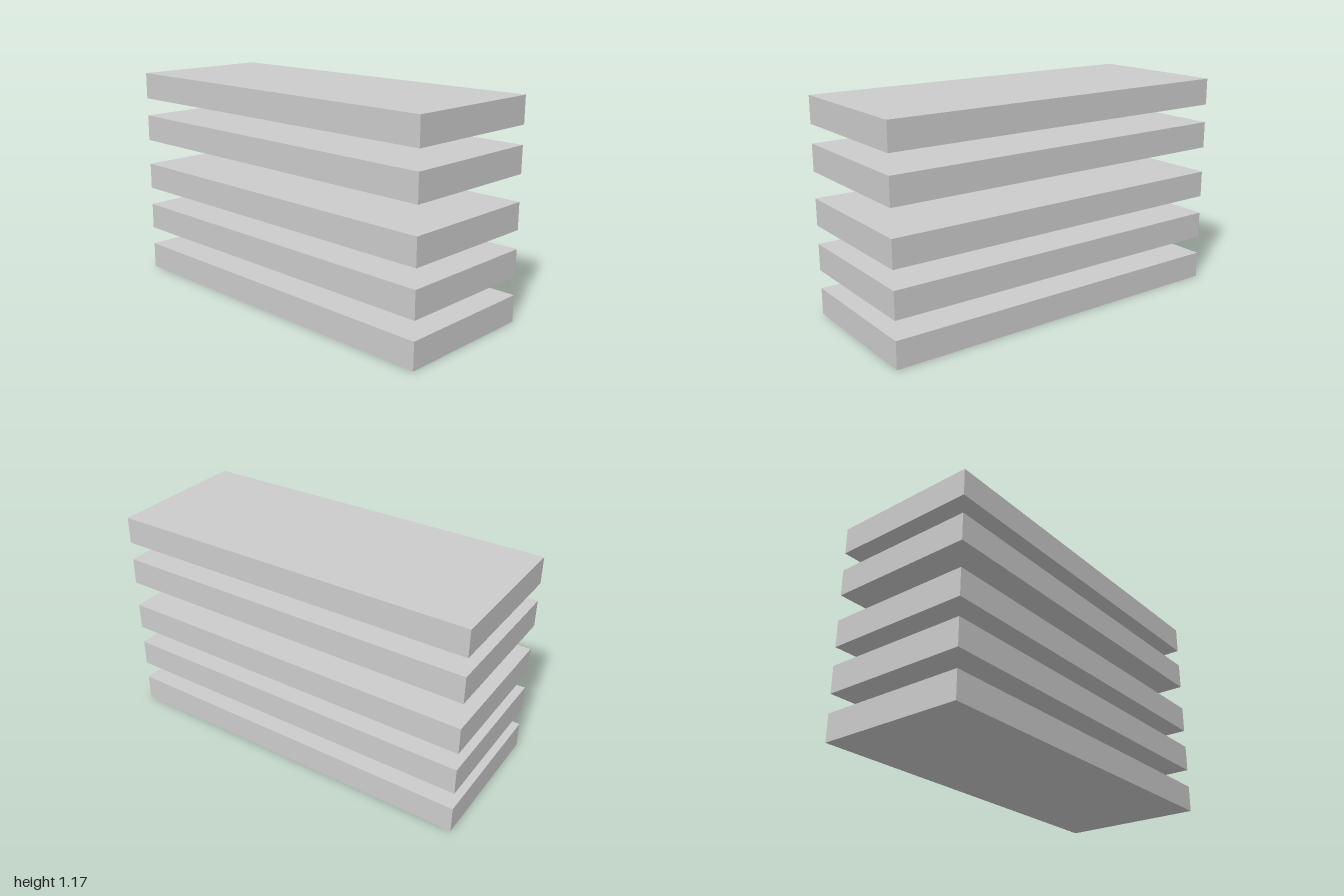
import * as THREE from 'three';

export function createModel() {
  const model = new THREE.Group();
  model.name = 'slabStack';

  const thickness = 0.145;
  const material = new THREE.MeshStandardMaterial({ color: 0xcccccc });
  const slabGeometry = new THREE.BoxGeometry(2, thickness, 0.8);

  // Floating slabs, listed by underside height; the gap above the third is wider
  const undersides = [0, 0.245, 0.49, 0.777, 1.022];
  undersides.forEach((y, i) => {
    const slab = new THREE.Mesh(slabGeometry, material);
    slab.name = `slab${i + 1}`;
    slab.position.y = y + thickness / 2;
    model.add(slab);
  });

  return model;
}
